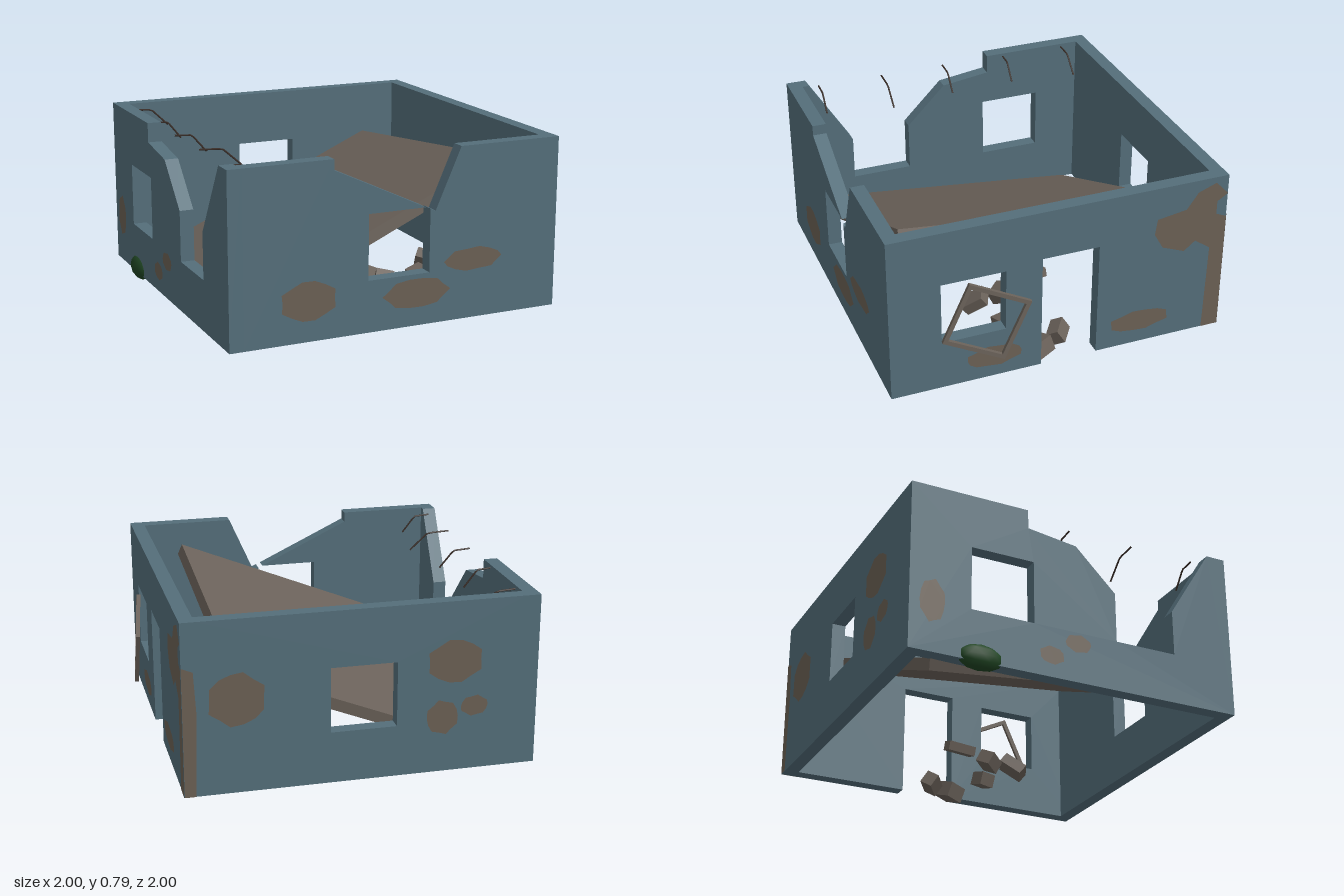
import * as THREE from 'three';

const H = 0.737, T = 0.06, BASE = 0.05, TOP = 0.785;

const mat = (name, color, side = THREE.FrontSide) => {
  const m = new THREE.MeshStandardMaterial({ color, side });
  m.name = name;
  return m;
};

export function createModel() {
  const wallPaint = mat('slate wall', 0x546e7a);
  const concrete = mat('dusty concrete', 0x6b625a);
  const stainPaint = mat('brown stain', 0x6b6054, THREE.DoubleSide);
  const steel = mat('rusty steel', 0x3a2e28);
  const moss = mat('dark moss', 0x1f4422);

  const root = new THREE.Group();
  root.name = 'ruinedBuilding';
  const house = new THREE.Group();
  house.name = 'house';
  house.rotation.y = 0.497;
  root.add(house);

  const add = (name, geometry, material, parent = house) => {
    const mesh = new THREE.Mesh(geometry, material);
    mesh.name = name;
    parent.add(mesh);
    return mesh;
  };
  const shapeOf = pts => new THREE.Shape(pts.map(p => new THREE.Vector2(...p)));

  // Walls: outline in (along wall, y), square window holes given by their centre
  const W = 0.138, SILL = 0.27, HEAD = 0.547;
  const wall = (name, pts, windows) => {
    const shape = shapeOf(pts);
    for (const c of windows) {
      shape.holes.push(new THREE.Path([
        [c - W, SILL], [c - W, HEAD], [c + W, HEAD], [c + W, SILL],
      ].map(p => new THREE.Vector2(...p))));
    }
    return add(name, new THREE.ExtrudeGeometry(shape, { depth: T, bevelEnabled: false }), wallPaint);
  };
  const L = H - T;

  // Front wall: slanted break running into the top of the window
  const front = wall('frontWall', [
    [-L, BASE], [L, BASE], [L, TOP], [0.275, TOP], [0.162, 0.528], [W, 0.539],
    [W, SILL], [-W, SILL], [-W, HEAD], [0.118, HEAD], [-0.29, 0.74], [-0.29, TOP], [-L, TOP],
  ], []);
  front.position.z = H - T;

  const back = wall('backWall', [[-L, BASE], [L, BASE], [L, TOP], [-L, TOP]], [0]);
  back.position.z = -H;

  // Right wall with doorway
  const right = wall('rightWall', [
    [-H, BASE], [-0.164, BASE], [-0.164, 0.568], [0.085, 0.568], [0.085, BASE],
    [H, BASE], [H, TOP], [-H, TOP],
  ], [0.38]);
  right.rotation.y = -Math.PI / 2;
  right.position.x = H;

  // Left wall: large break swallowing the second window
  const left = wall('leftWall', [
    [-H, BASE], [H, BASE], [H, TOP], [0.65, TOP], [0.455, 0.47], [0.455, SILL],
    [0.18, SILL], [0.18, 0.49], [0, 0.67], [-0.22, 0.70], [-0.22, TOP], [-H, TOP],
  ], [-0.335]);
  left.rotation.y = -Math.PI / 2;
  left.position.x = -H + T;

  // Fallen roof slab
  const slab = add('fallenRoofSlab', new THREE.BoxGeometry(1.3, 0.05, 1.3), concrete);
  slab.position.set(-0.075, 0.353, 0);
  slab.rotation.set(-0.11, 0, 0.4);

  // Stains: thin irregular patches just off the outer faces
  const faces = {
    front: [0, 0, H + 0.002, 0], back: [0, 0, -H - 0.002, 0],
    right: [H + 0.002, 0, 0, -Math.PI / 2], left: [-H - 0.002, 0, 0, -Math.PI / 2],
  };
  const patch = (face, pts) => {
    const m = add(face + 'Stain', new THREE.ShapeGeometry(shapeOf(pts)), stainPaint);
    const [x, y, z, r] = faces[face];
    m.position.set(x, y, z);
    m.rotation.y = r;
  };
  const blob = (face, cx, cy, rx, ry) => {
    const pts = [];
    for (let i = 0; i < 14; i++) {
      const a = i / 14 * Math.PI * 2;
      const r = 0.97 + 0.07 * Math.sin(i * 2.7 + cx * 20);
      pts.push([cx + Math.cos(a) * rx * r, cy + Math.sin(a) * ry * r]);
    }
    patch(face, pts);
  };
  [
    ['front', -0.4, 0.22, 0.125, 0.085], ['front', 0.08, 0.19, 0.15, 0.065], ['front', 0.34, 0.305, 0.135, 0.05],
    ['left', -0.64, 0.27, 0.056, 0.095], ['left', -0.12, 0.145, 0.056, 0.04], ['left', 0, 0.22, 0.06, 0.04],
    ['back', 0.52, 0.45, 0.12, 0.115], ['back', -0.38, 0.53, 0.12, 0.095],
    ['back', -0.33, 0.29, 0.07, 0.075], ['back', -0.466, 0.33, 0.06, 0.045],
    ['right', -0.36, 0.16, 0.14, 0.05], ['right', 0.292, 0.15, 0.125, 0.05],
  ].forEach(s => blob(...s));
  patch('right', [
    [-H, BASE], [-0.66, BASE], [-0.67, 0.45], [-0.6, 0.5], [-0.55, 0.46], [-0.45, 0.5], [-0.41, 0.57],
    [-0.42, 0.64], [-0.55, 0.66], [-0.6, 0.73], [-0.68, 0.76], [-H, 0.7], [-0.69, 0.67], [-0.69, 0.61], [-H, 0.59],
  ]);
  patch('back', [[H, BASE], [0.69, BASE], [0.68, 0.4], [0.69, 0.58], [H, 0.6]]);

  // Bent reinforcing bars along the top of the left wall
  [[-0.6, 0.15], [-0.3, 0.11], [0, 0.12], [0.3, 0.165], [0.6, 0.11]].forEach(([z, len]) => {
    const path = new THREE.CurvePath();
    const p = [
      new THREE.Vector3(-0.69, 0.77, z),
      new THREE.Vector3(-0.68 + len * 0.55, 0.765, z),
      new THREE.Vector3(-0.67 + len, 0.69, z),
    ];
    path.add(new THREE.LineCurve3(p[0], p[1]));
    path.add(new THREE.LineCurve3(p[1], p[2]));
    add('reinforcingBar', new THREE.TubeGeometry(path, 10, 0.004, 5), steel);
  });

  // Window frame hanging crooked outside the right wall
  const frame = new THREE.Group();
  frame.name = 'danglingWindowFrame';
  frame.position.set(0.772, 0.353, 0.338);
  frame.rotation.set(-0.43, -0.14, 0);
  house.add(frame);
  for (const s of [-1, 1]) {
    add('frameRail', new THREE.BoxGeometry(0.018, 0.018, 0.28), concrete, frame).position.y = s * 0.131;
    add('framePost', new THREE.BoxGeometry(0.018, 0.25, 0.018), concrete, frame).position.z = s * 0.131;
  }

  // Rubble spilling from the doorway: x, z, size x, y, z, turn
  [
    [0.62, 0.05, 0.1, 0.07, 0.09, 0.4], [0.555, -0.07, 0.06, 0.065, 0.09, 0.9],
    [0.41, 0.125, 0.08, 0.06, 0.07, 0.2], [0.21, 0.18, 0.11, 0.05, 0.08, 1.1],
    [0.19, 0.05, 0.07, 0.06, 0.09, 0.7], [0.11, -0.13, 0.05, 0.04, 0.13, 0.1],
  ].forEach(([x, z, sx, sy, sz, r]) => {
    const chunk = add('rubbleChunk', new THREE.BoxGeometry(sx, sy, sz), concrete);
    chunk.position.set(x, 0.055, z);
    chunk.rotation.set(r * 0.4, r, 0.25);
  });

  // Moss clump at the foot of the left wall
  const clump = add('mossClump', new THREE.IcosahedronGeometry(1, 1), moss);
  clump.scale.set(0.04, 0.055, 0.1);
  clump.position.set(-0.722, 0.075, -0.43);

  return root;
}
